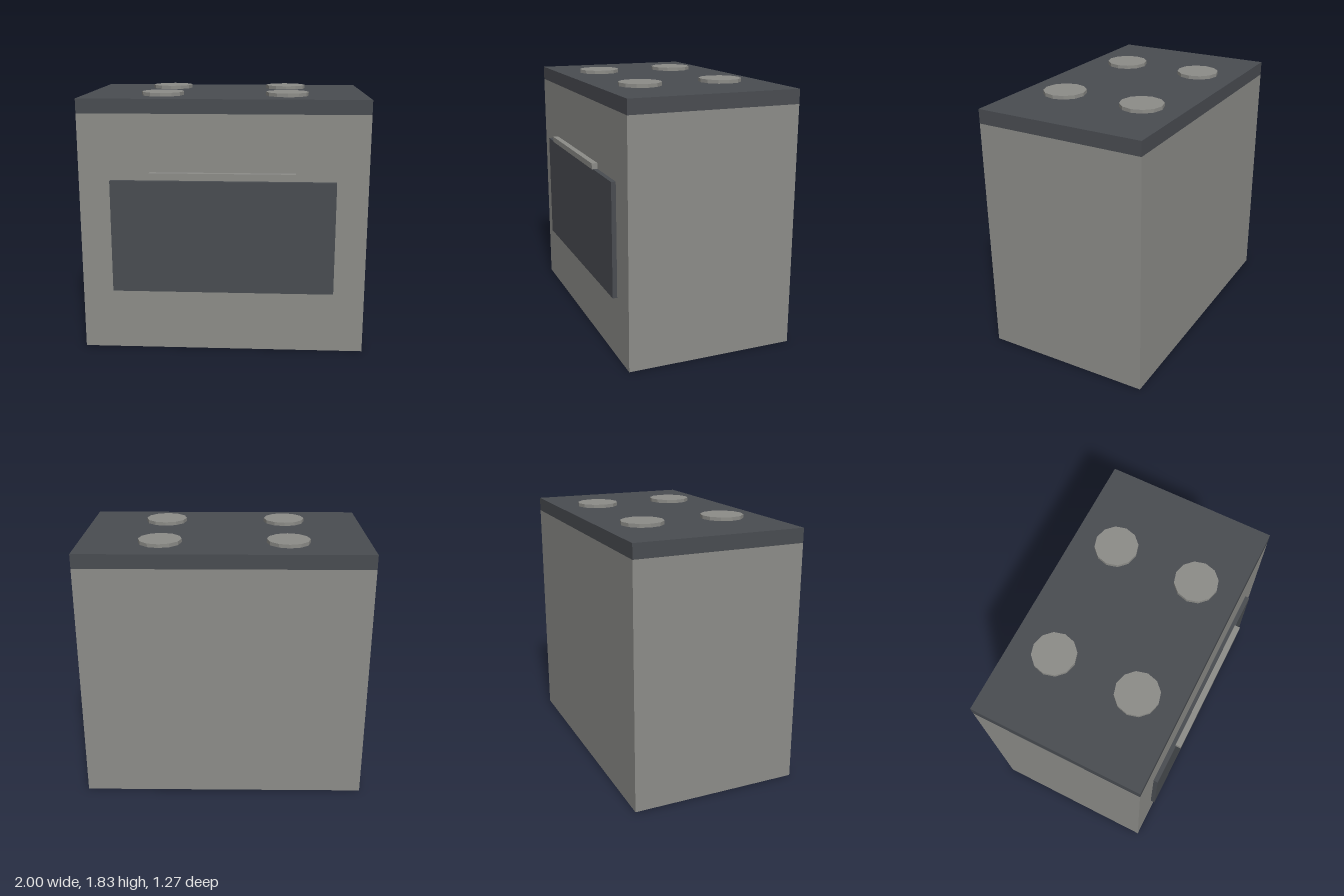
import * as THREE from 'three';

export function createModel() {
  const steel = new THREE.MeshStandardMaterial({ color: 0x8c8c88 });
  steel.name = 'steel grey';
  steel.flatShading = true;
  const dark = new THREE.MeshStandardMaterial({ color: 0x494c51 });
  dark.name = 'dark slate';
  dark.flatShading = true;

  const model = new THREE.Group();
  model.name = 'stove';

  function add(name, geometry, material, x, y, z) {
    const mesh = new THREE.Mesh(geometry, material);
    mesh.name = name;
    mesh.position.set(x, y, z);
    model.add(mesh);
  }
  const box = (w, h, d) => new THREE.BoxGeometry(w, h, d);

  // Cabinet and cooktop slab
  const centreZ = -0.035;
  add('cabinet', box(2, 1.7, 1.2), steel, 0, 0.85, centreZ);
  add('cooktop', box(2, 0.1, 1.2), dark, 0, 1.75, centreZ);

  // Oven door, with the handle bar just above and in front of it
  add('ovenDoor', box(1.56, 0.8, 0.032), dark, 0, 0.84, 0.581);
  add('doorHandle', box(1, 0.04, 0.04), steel, 0, 1.284, 0.615);

  // Four burners
  const burner = new THREE.CylinderGeometry(0.15, 0.15, 0.025, 12);
  for (const [row, dz] of [['front', 0.3], ['back', -0.3]]) {
    for (const [side, x] of [['Left', 0.44], ['Right', -0.44]]) {
      add(`${row}${side}Burner`, burner, steel, x, 1.8125, centreZ + dz);
    }
  }
  return model;
}
